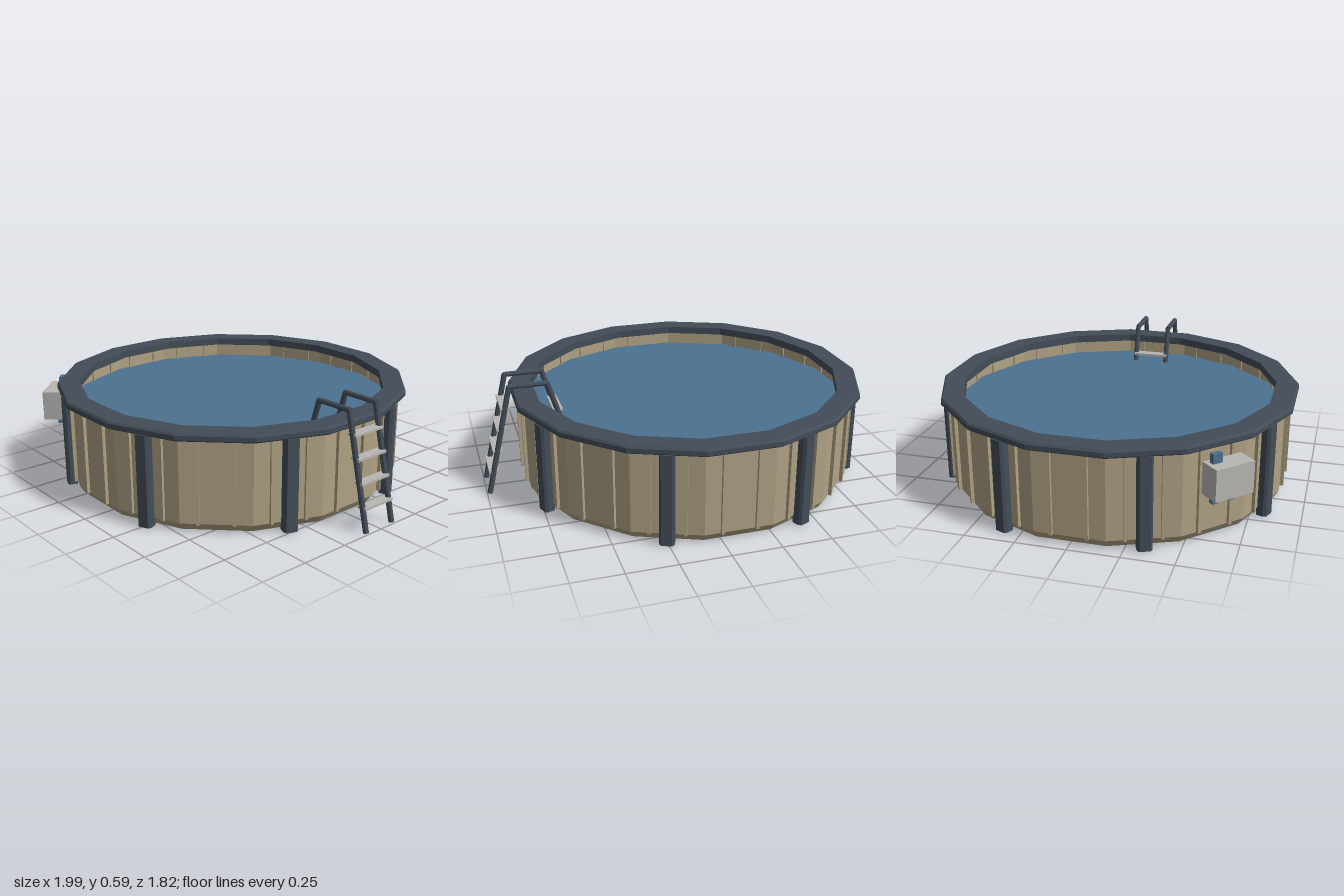
import * as THREE from 'three';

const SIDES = 16;
const STEP = (Math.PI * 2) / SIDES;

function makeMaterial(name, color, side = THREE.FrontSide) {
  const m = new THREE.MeshStandardMaterial({ color, side });
  m.name = name;
  return m;
}

// Faceted normals
function flat(geo) {
  const g = geo.index ? geo.toNonIndexed() : geo;
  g.computeVertexNormals();
  return g;
}

// Sixteen-sided ring or shell, with flat sides facing the axes
function ring(points) {
  const profile = points.map(([r, y]) => new THREE.Vector2(r, y));
  return flat(new THREE.LatheGeometry(profile, SIDES, STEP / 2));
}

export function createModel() {
  const tan = makeMaterial('tan wall', 0xb0a284, THREE.DoubleSide);
  const slate = makeMaterial('slate frame', 0x434d58);
  const blue = makeMaterial('water blue', 0x4c7290);
  const grey = makeMaterial('light grey', 0xb9b7b3);

  const model = new THREE.Group();
  model.name = 'abovegroundPool';

  function add(parent, name, geo, mat, x = 0, y = 0, z = 0) {
    const mesh = new THREE.Mesh(geo, mat);
    mesh.name = name;
    mesh.position.set(x, y, z);
    parent.add(mesh);
    return mesh;
  }

  const pool = new THREE.Group();
  pool.name = 'pool';
  pool.position.x = -0.085;
  model.add(pool);

  // Wall shell with floor and tapered foot
  add(pool, 'wall', ring([
    [0, 0], [0.857, 0], [0.884, 0.04], [0.884, 0.47], [0.872, 0.47], [0.872, 0.05],
  ]), tan);

  // Top rim with small bevels
  add(pool, 'rim', ring([
    [0.812, 0.462], [0.918, 0.462], [0.928, 0.47], [0.928, 0.492],
    [0.92, 0.502], [0.812, 0.502], [0.812, 0.462],
  ]), slate);

  // Water surface
  add(pool, 'water', ring([[0.873, 0.38], [0, 0.382]]), blue);

  // Upright posts on every second side, with chamfered front edges
  const section = new THREE.Shape([
    [-0.036, 0.862], [0.036, 0.862], [0.036, 0.898],
    [0.026, 0.912], [-0.026, 0.912], [-0.036, 0.898],
  ].map(([x, y]) => new THREE.Vector2(x, y)));
  const postGeo = new THREE.ExtrudeGeometry(section, { depth: 0.465, bevelEnabled: false });
  postGeo.rotateX(Math.PI / 2);
  postGeo.translate(0, 0.465, 0);
  const ribGeo = new THREE.BoxGeometry(0.016, 0.425, 0.036);

  for (let i = 0; i < SIDES; i++) {
    const side = new THREE.Group();
    side.name = 'wallSide';
    side.rotation.y = i * STEP;
    pool.add(side);
    if (i % 2) add(side, 'post', postGeo, slate);
    // Two ribs per side
    for (const s of [-1, 1]) add(side, 'rib', ribGeo, tan, s * 0.086, 0.2525, 0.866);
  }

  // Filter pump hung outside the rim
  const pump = new THREE.Group();
  pump.name = 'pump';
  pump.rotation.y = -Math.PI / 4;
  pool.add(pump);
  add(pump, 'pumpBox', new THREE.BoxGeometry(0.206, 0.155, 0.106), grey, 0, 0.338, 0.967);
  add(pump, 'topPipe', new THREE.BoxGeometry(0.05, 0.06, 0.027), blue, -0.055, 0.432, 0.948);
  for (const x of [-0.06, 0.025]) {
    add(pump, 'bottomPipe', new THREE.BoxGeometry(0.03, 0.06, 0.027), blue, x, 0.248, 0.948);
  }

  // Ladder over the rim
  const ladder = new THREE.Group();
  ladder.name = 'ladder';
  model.add(ladder);
  const path = [[0.985, 0.004], [0.85, 0.57], [0.66, 0.57], [0.585, 0.32]];
  const up = new THREE.Vector3(0, 1, 0);
  for (const z of [-0.09, 0.09]) {
    for (let i = 0; i < path.length - 1; i++) {
      const a = new THREE.Vector3(...path[i], z);
      const b = new THREE.Vector3(...path[i + 1], z);
      const dir = b.clone().sub(a);
      const bar = flat(new THREE.CylinderGeometry(0.014, 0.014, dir.length() + 0.008, 8));
      const rail = add(ladder, 'ladderRail', bar, slate);
      rail.position.copy(a).add(b).multiplyScalar(0.5);
      rail.quaternion.setFromUnitVectors(up, dir.normalize());
    }
  }

  // Treads outside, and one inside above the water
  const treadGeo = new THREE.BoxGeometry(0.05, 0.012, 0.19);
  for (const y of [0.117, 0.231, 0.344, 0.456]) {
    add(ladder, 'tread', treadGeo, grey, 0.985 - 0.2385 * y, y, 0);
  }
  add(ladder, 'innerTread', treadGeo, grey, 0.614, 0.42, 0);

  return model;
}
